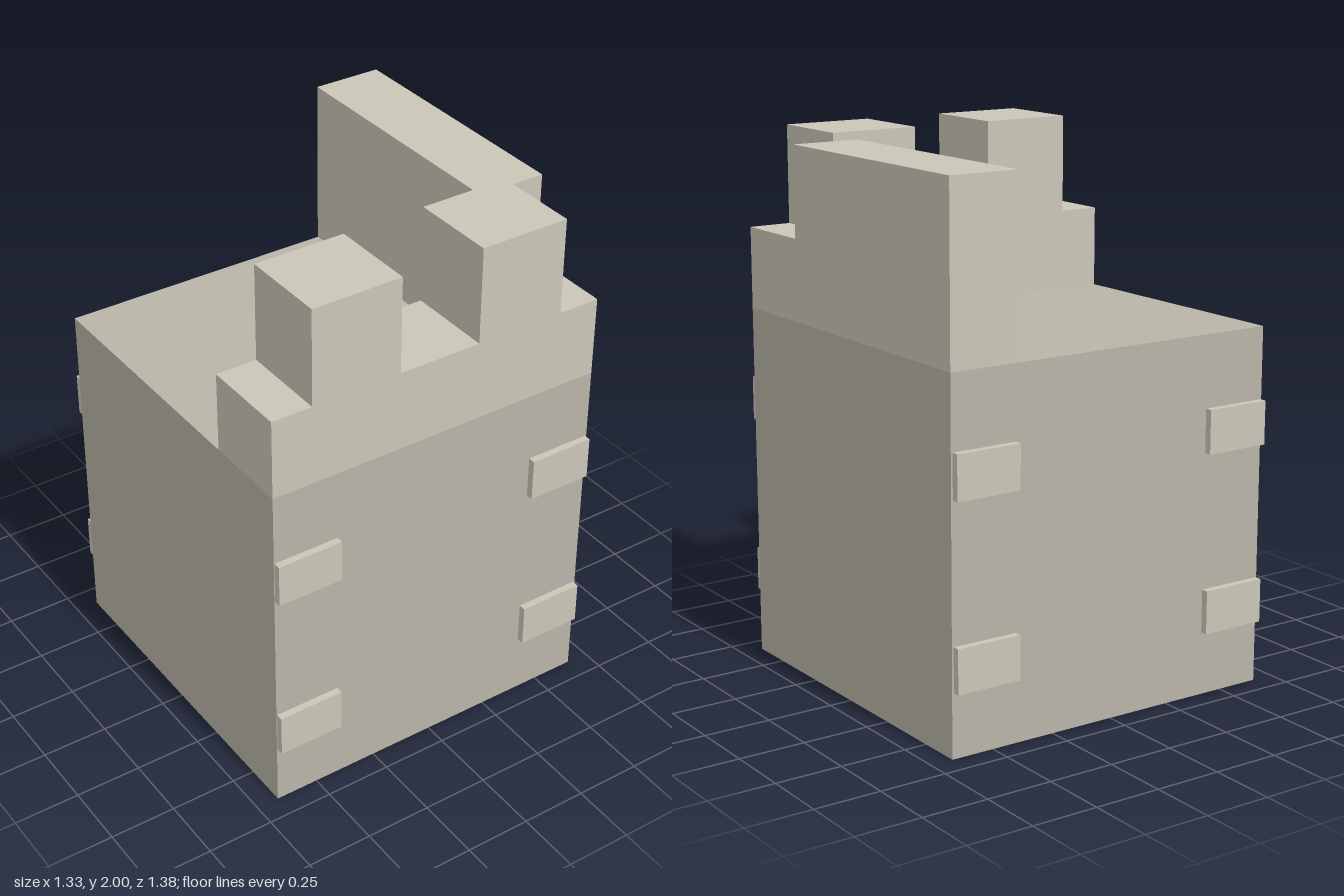
import * as THREE from 'three';

export function createModel() {
  const model = new THREE.Group();
  model.name = 'tower';
  const stone = new THREE.MeshStandardMaterial({ color: 0xcac6b7 });
  const darkStone = new THREE.MeshStandardMaterial({ color: 0xb9b4a8 });

  // Adds a box given its extents along each axis
  function block(name, [x0, x1], [y0, y1], [z0, z1], material = stone) {
    const mesh = new THREE.Mesh(new THREE.BoxGeometry(x1 - x0, y1 - y0, z1 - z0), material);
    mesh.position.set((x0 + x1) / 2, (y0 + y1) / 2, (z0 + z1) / 2);
    mesh.name = name;
    model.add(mesh);
  }

  const half = 0.665, floor = 1.333, ledge = 1.635, front = 0.333;

  // Cubic tower body
  block('body', [-half, half], [0, floor], [-half, half], darkStone);

  // Front parapet with two merlons
  block('parapet', [-half, half], [floor, ledge], [front, half]);
  block('rightMerlon', [-0.51, -0.163], [ledge, 2], [front, half]);
  block('leftMerlon', [0.158, 0.503], [ledge, 2], [front, half]);

  // Tall wall along the left side
  block('sideWall', [0.4, half], [floor, 1.97], [-half, front]);

  // Raised bricks at the corners of the front and back faces
  for (const x of [-0.536, 0.532])
    for (const y of [0.317, 0.985])
      for (const side of [-1, 1]) {
        const z = [side * 0.64, side * 0.692].sort((a, b) => a - b);
        block('cornerBrick', [x - 0.126, x + 0.126], [y - 0.081, y + 0.081], z);
      }

  return model;
}
